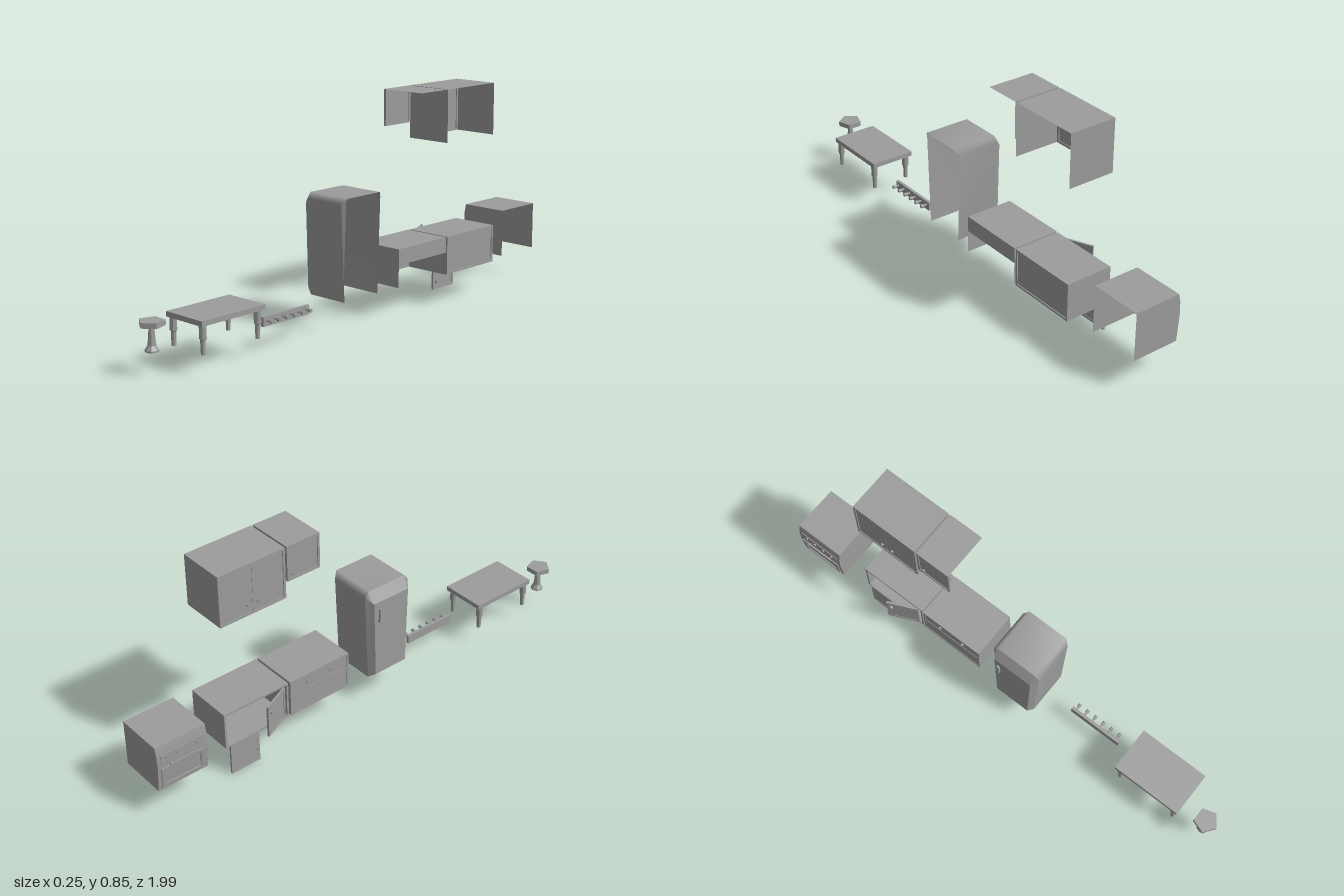
import * as THREE from 'three';

const mat = new THREE.MeshStandardMaterial({ color: 0x9c9c9c, flatShading: true, side: THREE.DoubleSide });
const smoothMat = new THREE.MeshStandardMaterial({ color: 0x9c9c9c, side: THREE.DoubleSide });

function add(parent, name, geo, x = 0, y = 0, z = 0, material = mat) {
  const m = new THREE.Mesh(geo, material);
  m.name = name;
  m.position.set(x, y, z);
  parent.add(m);
  return m;
}

function group(parent, name) {
  const g = new THREE.Group();
  g.name = name;
  parent.add(g);
  return g;
}

// box given by its limits
function box(parent, name, x0, x1, y0, y1, z0, z1) {
  return add(parent, name, new THREE.BoxGeometry(x1 - x0, y1 - y0, z1 - z0),
    (x0 + x1) / 2, (y0 + y1) / 2, (z0 + z1) / 2);
}

// thin flat polygon, fanned from its first corner
function sheet(parent, name, pts) {
  const pos = [];
  for (let i = 1; i < pts.length - 1; i++) pos.push(...pts[0], ...pts[i], ...pts[i + 1]);
  const g = new THREE.BufferGeometry();
  g.setAttribute('position', new THREE.Float32BufferAttribute(pos, 3));
  g.computeVertexNormals();
  return add(parent, name, g);
}

// smooth skin through open cross-sections of equal length
function loft(parent, name, rings) {
  const n = rings[0].length;
  const idx = [];
  for (let r = 0; r < rings.length - 1; r++) for (let i = 0; i < n - 1; i++) {
    const a = r * n + i;
    idx.push(a, a + 1, a + n + 1, a, a + n + 1, a + n);
  }
  const g = new THREE.BufferGeometry();
  g.setAttribute('position', new THREE.Float32BufferAttribute(rings.flat(2), 3));
  g.setIndex(idx);
  g.computeVertexNormals();
  return add(parent, name, g, 0, 0, 0, smoothMat);
}

const sideSheet = (p, name, z, x0, x1, y0, y1) =>
  sheet(p, name, [[x0, y0, z], [x1, y0, z], [x1, y1, z], [x0, y1, z]]);
const levelSheet = (p, name, y, x0, x1, z0, z1) =>
  sheet(p, name, [[x0, y, z0], [x0, y, z1], [x1, y, z1], [x1, y, z0]]);
const faceSheet = (p, name, x, y0, y1, z0, z1) =>
  sheet(p, name, [[x, y0, z0], [x, y0, z1], [x, y1, z1], [x, y1, z0]]);

// front frame facing -x with one or more rectangular openings [y0, y1, z0, z1]
function frame(parent, name, x, y0, y1, z0, z1, openings, depth = 0.006) {
  const rect = (P, a, b, c, d) => {
    const s = new P();
    s.moveTo(c, a); s.lineTo(d, a); s.lineTo(d, b); s.lineTo(c, b); s.closePath();
    return s;
  };
  const s = rect(THREE.Shape, y0, y1, z0, z1);
  openings.forEach((o) => s.holes.push(rect(THREE.Path, ...o)));
  const g = new THREE.ExtrudeGeometry(s, { depth, bevelEnabled: false });
  g.rotateY(-Math.PI / 2);
  return add(parent, name, g, x + depth, 0, 0);
}

// round part lying along x
function rod(parent, name, r, len, x, y, z, n = 8) {
  return add(parent, name, new THREE.CylinderGeometry(r, r, len, n).rotateZ(Math.PI / 2), x, y, z);
}

function lathe(parent, name, pts, n, x, y, z) {
  return add(parent, name, new THREE.LatheGeometry(pts.map((p) => new THREE.Vector2(...p)), n), x, y, z);
}

function stool(root) {
  const g = group(root, 'stool');
  add(g, 'seat', new THREE.CylinderGeometry(0.048, 0.048, 0.019, 5), -0.037, 0.187, 0.948);
  lathe(g, 'pedestal', [[0, 0.088], [0.025, 0.088], [0.025, 0.094], [0.015, 0.109], [0.009, 0.178]], 8, -0.037, 0, 0.948);
}

function table(root) {
  const g = group(root, 'table');
  const [x0, x1, z0, z1] = [-0.085, 0.1, 0.555, 0.845];
  levelSheet(g, 'tableTop', 0.197, x0, x1, z0, z1);
  for (const z of [z0, z1]) sideSheet(g, 'apronEnd', z, x0, x1, 0.178, 0.197);
  for (const x of [x0, x1]) faceSheet(g, 'apronSide', x, 0.178, 0.197, z0, z1);
  for (const x of [-0.068, 0.084]) for (const z of [0.578, 0.828])
    lathe(g, 'tableLeg', [[0, 0.075], [0.008, 0.075], [0.0095, 0.127], [0.013, 0.13], [0.013, 0.195]], 8, x, 0, z);
}

function rack(root) {
  const g = group(root, 'pegRack');
  box(g, 'rackBoard', 0.018, 0.03, 0.088, 0.123, 0.272, 0.5);
  for (let i = 0; i < 6; i++) {
    const z = 0.288 + i * 0.039;
    rod(g, 'pegStem', 0.004, 0.02, 0.038, 0.109, z, 6);
    rod(g, 'pegKnob', 0.007, 0.012, 0.052, 0.109, z, 6);
  }
}

function fridge(root) {
  const g = group(root, 'fridge');
  // arch-shaped sections from the door face to the open back
  const door = [[0.14, 0.145], [0.465, 0.154], [0.465, -0.013], [0.14, -0.004]].map(([y, z]) => [-0.1, y, z]);
  const lip = [[0.12, 0.158], [0.49, 0.174], [0.511, 0.156], [0.511, -0.016], [0.49, -0.035], [0.12, -0.02]];
  const front = lip.map(([y, z]) => [-0.073, y, z]);
  const back = lip.map(([y, z]) => [y > 0.5 ? 0.115 : 0.1, y, z]);
  sheet(g, 'door', door);
  loft(g, 'doorBevel', [[0, 1, 1, 2, 2, 3].map((i) => door[i]), front]);
  sheet(g, 'doorBevelBottom', [door[3], door[0], front[0], front[5]]);
  loft(g, 'body', [front, back]);
  box(g, 'handle', -0.113, -0.105, 0.38, 0.44, 0.005, 0.017);
  box(g, 'handleMount', -0.106, -0.099, 0.38, 0.39, 0.006, 0.016);
}

function sinkUnit(root) {
  const g = group(root, 'sinkUnit');
  const [x0, x1, y0, y1, z0, z1] = [-0.072, 0.123, 0.126, 0.277, -0.392, -0.115];
  levelSheet(g, 'counterTop', y1, x0, x1, z0, z1);
  sideSheet(g, 'sidePanel', z1, x0, x1, y0, y1);
  sideSheet(g, 'innerPanel', z0, x0, x1, y0, y1);
  faceSheet(g, 'backApron', x1, 0.215, y1, z0, z1);
  const drawers = [[0.135, 0.207, z0 + 0.008, z1 - 0.008], [0.217, 0.27, z0 + 0.008, z1 - 0.008]];
  frame(g, 'frontFrame', x0, y0, y1, z0, z1, drawers);
  drawers.forEach(([a, b, c, d]) => box(g, 'drawerFront', x0 + 0.002, x0 + 0.006, a, b, c, d));
  for (const z of [-0.31, -0.2]) rod(g, 'drawerKnob', 0.007, 0.006, x0, 0.243, z);
  // basin and taps under the counter
  const basin = new THREE.CylinderGeometry(0.09, 0.065, 0.058, 4, 1, true).rotateY(Math.PI / 4);
  add(g, 'basin', basin, 0.03, 0.247, -0.25).scale.z = 1.4;
  levelSheet(g, 'basinFloor', 0.218, -0.016, 0.076, -0.314, -0.186);
  const spout = new THREE.CatmullRomCurve3([[-0.045, 0.22, -0.25], [-0.045, 0.18, -0.25], [-0.035, 0.16, -0.25], [-0.015, 0.165, -0.25]]
    .map((p) => new THREE.Vector3(...p)));
  add(g, 'spout', new THREE.TubeGeometry(spout, 8, 0.007, 6), 0, 0, 0);
  box(g, 'tapBar', -0.05, -0.04, 0.188, 0.197, -0.305, -0.195);
  for (const z of [-0.3, -0.2]) add(g, 'tap', new THREE.CylinderGeometry(0.009, 0.009, 0.026, 6), -0.045, 0.197, z);
}

function cupboard(root) {
  const g = group(root, 'openCupboard');
  const [x0, x1, y0, y1, z0, z1] = [-0.07, 0.123, 0.126, 0.277, -0.688, -0.4];
  const t = 0.008;
  const xb = x1 - 0.004;
  for (const y of [y0, y1]) levelSheet(g, 'outerLevel', y, x0, x1, z0, z1);
  for (const z of [z0, z1]) sideSheet(g, 'outerSide', z, x0, x1, y0, y1);
  for (const y of [y0 + t, y1 - t]) levelSheet(g, 'liner', y, x0, xb, z0 + t, z1 - t);
  for (const z of [z0 + t, z1 - t]) sideSheet(g, 'linerSide', z, x0, xb, y0 + t, y1 - t);
  faceSheet(g, 'backPanel', xb, y0 + t, y1 - t, z0 + t, z1 - t);
  const opening = [[y0 + t, y1 - t, z0 + t, z1 - t]];
  frame(g, 'frontFrame', x0, y0, y1, z0, z1, opening, 0.004);
  frame(g, 'backRim', xb, y0, y1, z0, z1, opening, 0.004);

  // door slab with raised border and knob, hinged on its own z = 0 edge
  const doorLeaf = (name) => {
    const d = group(g, name);
    frame(d, 'doorBorder', -0.004, 0, 0.132, -0.128, 0, [[0.01, 0.122, -0.118, -0.01]], 0.008);
    box(d, 'doorPanel', -0.002, 0.003, 0.009, 0.123, -0.119, -0.009);
    rod(d, 'doorKnob', 0.007, 0.012, -0.006, 0.1, -0.109);
    return d;
  };
  const swung = doorLeaf('swungDoor');
  swung.position.set(-0.07, 0.135, -0.42);
  swung.rotation.y = Math.atan2(0.05, 0.11);
  // second door has dropped down flat below the opening
  const hung = doorLeaf('hangingDoor');
  hung.position.set(-0.07, 0.133, -0.67);
  hung.rotation.z = Math.PI;
  hung.scale.z = -1;
}

function wallCabinet(root, name, y0, z0, z1, doors, sides, knobs) {
  const g = group(root, name);
  const [x0, x1, y1, t] = [-0.068, 0.123, 0.855, 0.009];
  levelSheet(g, 'top', y1, x0, x1, z0, z1);
  sides.forEach((z) => sideSheet(g, 'sidePanel', z, x0, x1, y0, y1));
  const w = (z1 - z0 - 2 * t) / doors;
  frame(g, 'frontFrame', x0, y0, y1, z0, z1, [[y0 + t, y1 - t, z0 + t, z1 - t]], 0.009);
  for (let i = 0; i < doors; i++) {
    const a = z0 + t + i * w;
    box(g, 'door', x0 + 0.003, x0 + 0.006, y0 + t, y1 - t, a + 0.0005, a + w - 0.0005);
  }
  knobs.forEach(([y, z]) => rod(g, 'doorKnob', 0.006, 0.008, x0 + 0.001, y, z));
}

function oven(root) {
  const g = group(root, 'oven');
  const [z0, z1, xb] = [-0.998, -0.79, 0.092];
  const prof = [[-0.1, 0.315], [-0.107, 0.28], [-0.109, 0.227], [-0.101, 0.125]];
  levelSheet(g, 'top', 0.315, prof[0][0], xb, z0, z1);
  for (const z of [z0, z1]) sheet(g, 'sidePanel', [[xb, 0.315, z], ...prof.map(([x, y]) => [x, y, z]), [xb, 0.125, z]]);
  loft(g, 'frontPanel', [z0, z1].map((z) => prof.map(([x, y]) => [x, y, z])));
  // door, handle and controls
  const door = group(g, 'ovenDoor');
  frame(door, 'doorFrame', -0.004, -0.048, 0.04, -0.09, 0.09, [[-0.036, 0.026, -0.074, 0.074]], 0.005);
  door.position.set(-0.106, 0.183, -0.894);
  door.rotation.z = 0.08;
  box(g, 'doorHandle', -0.118, -0.114, 0.226, 0.233, -0.95, -0.838);
  for (const z of [-0.945, -0.843]) box(g, 'handleMount', -0.116, -0.105, 0.226, 0.233, z - 0.004, z + 0.004);
  box(g, 'controlPanel', -0.11, -0.106, 0.248, 0.28, -0.984, -0.804);
  for (let i = 0; i < 4; i++) rod(g, 'controlKnob', 0.006, 0.006, -0.111, 0.264, -0.957 + i * 0.042);
}

export function createModel() {
  const root = new THREE.Group();
  root.name = 'kitchen';
  stool(root);
  table(root);
  rack(root);
  fridge(root);
  sinkUnit(root);
  cupboard(root);
  wallCabinet(root, 'largeWallCabinet', 0.648, -0.677, -0.393, 2, [-0.677, -0.393], [[0.69, -0.558], [0.69, -0.512]]);
  wallCabinet(root, 'smallWallCabinet', 0.712, -0.385, -0.24, 1, [-0.385], [[0.735, -0.36]]);
  oven(root);
  return root;
}
